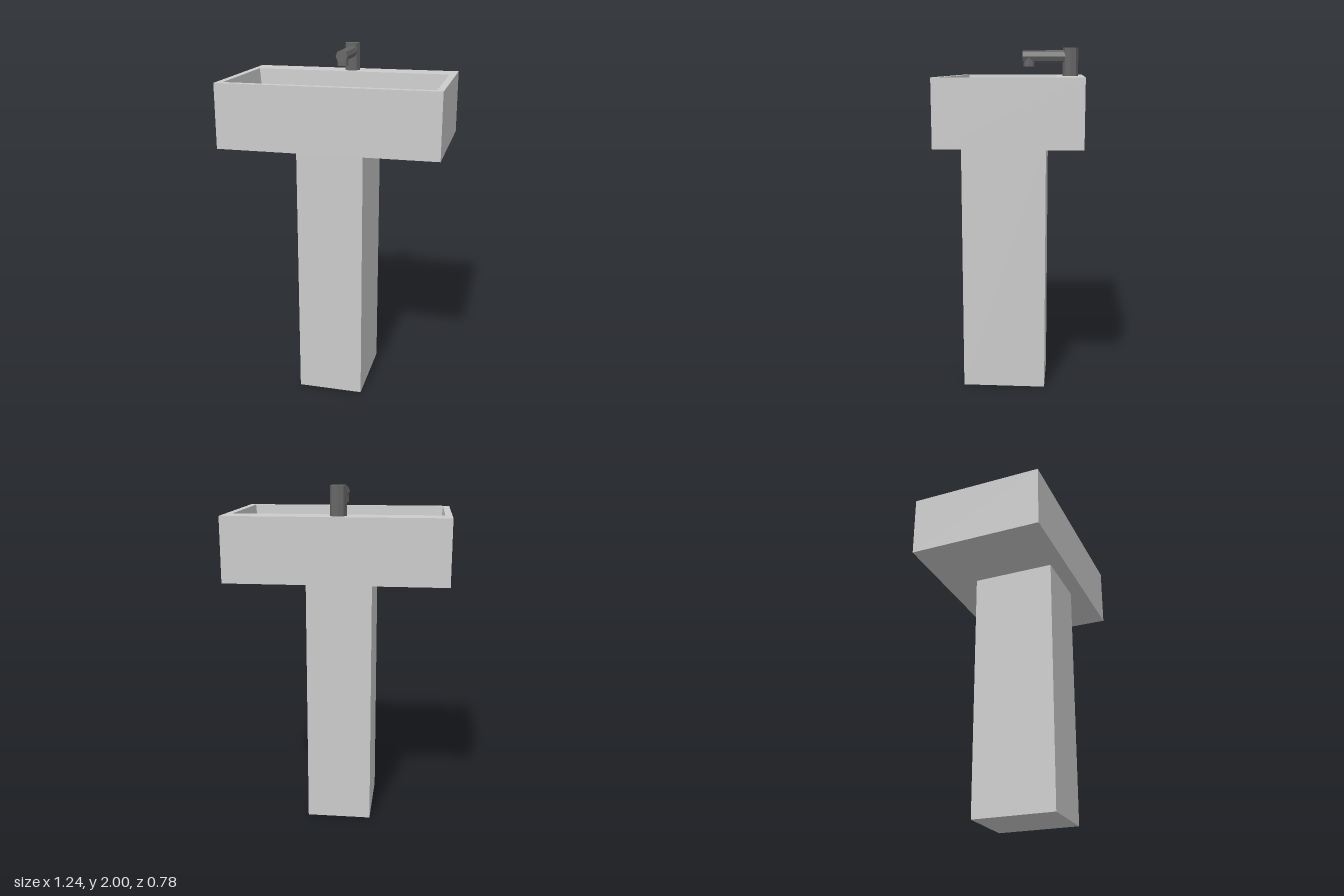
import * as THREE from 'three';

// Surface through a chain of rectangular rings [x0, x1, z0, z1, y], capped at both ends
function ringGeometry(rings) {
  const corners = rings.map(([x0, x1, z0, z1, y]) => [[x0, y, z1], [x1, y, z1], [x1, y, z0], [x0, y, z0]]);
  const pos = [];
  const quad = (a, b, c, d) => pos.push(...a, ...b, ...c, ...a, ...c, ...d);
  for (let i = 0; i < corners.length - 1; i++) {
    const lo = corners[i], hi = corners[i + 1];
    for (let k = 0; k < 4; k++) {
      const n = (k + 1) % 4;
      quad(lo[k], lo[n], hi[n], hi[k]);
    }
  }
  const first = corners[0], last = corners[corners.length - 1];
  quad(first[3], first[2], first[1], first[0]);
  quad(last[0], last[1], last[2], last[3]);
  const geo = new THREE.BufferGeometry();
  geo.setAttribute('position', new THREE.Float32BufferAttribute(pos, 3));
  geo.computeVertexNormals();
  return geo;
}

export function createModel() {
  const model = new THREE.Group();
  model.name = 'pedestalSink';
  const ceramic = new THREE.MeshStandardMaterial({ color: 0xcccccc, flatShading: true });
  const metal = new THREE.MeshStandardMaterial({ color: 0x666666, flatShading: true });

  const add = (parent, name, geo, mat, x, y, z) => {
    const mesh = new THREE.Mesh(geo, mat);
    mesh.name = name;
    mesh.position.set(x, y, z);
    parent.add(mesh);
    return mesh;
  };

  // Square column, set forward of the basin centre
  add(model, 'pedestal', new THREE.BoxGeometry(0.376, 1.477, 0.484), ceramic, 0, 0.7385, 0.06);

  // Basin: underside, outer walls, rim, tapering inner walls, floor
  add(model, 'basin', ringGeometry([
    [-0.618, 0.618, -0.39, 0.39, 1.477],
    [-0.618, 0.618, -0.39, 0.39, 1.84],
    [-0.58, 0.58, -0.235, 0.35, 1.84],
    [-0.545, 0.545, -0.217, 0.33, 1.515],
  ]), ceramic, 0, 0, 0);

  // Eight-sided tap: post, spout and nozzle
  const tap = new THREE.Group();
  tap.name = 'tap';
  tap.position.x = -0.014;
  model.add(tap);
  const rod = (r, h) => new THREE.CylinderGeometry(r, r, h, 8);
  add(tap, 'tapPost', rod(0.045, 0.16), metal, 0, 1.92, -0.313);
  add(tap, 'tapSpout', rod(0.035, 0.265), metal, 0, 1.95, -0.17).rotation.x = Math.PI / 2;
  add(tap, 'tapNozzle', rod(0.033, 0.057), metal, 0, 1.922, -0.074);

  return model;
}
